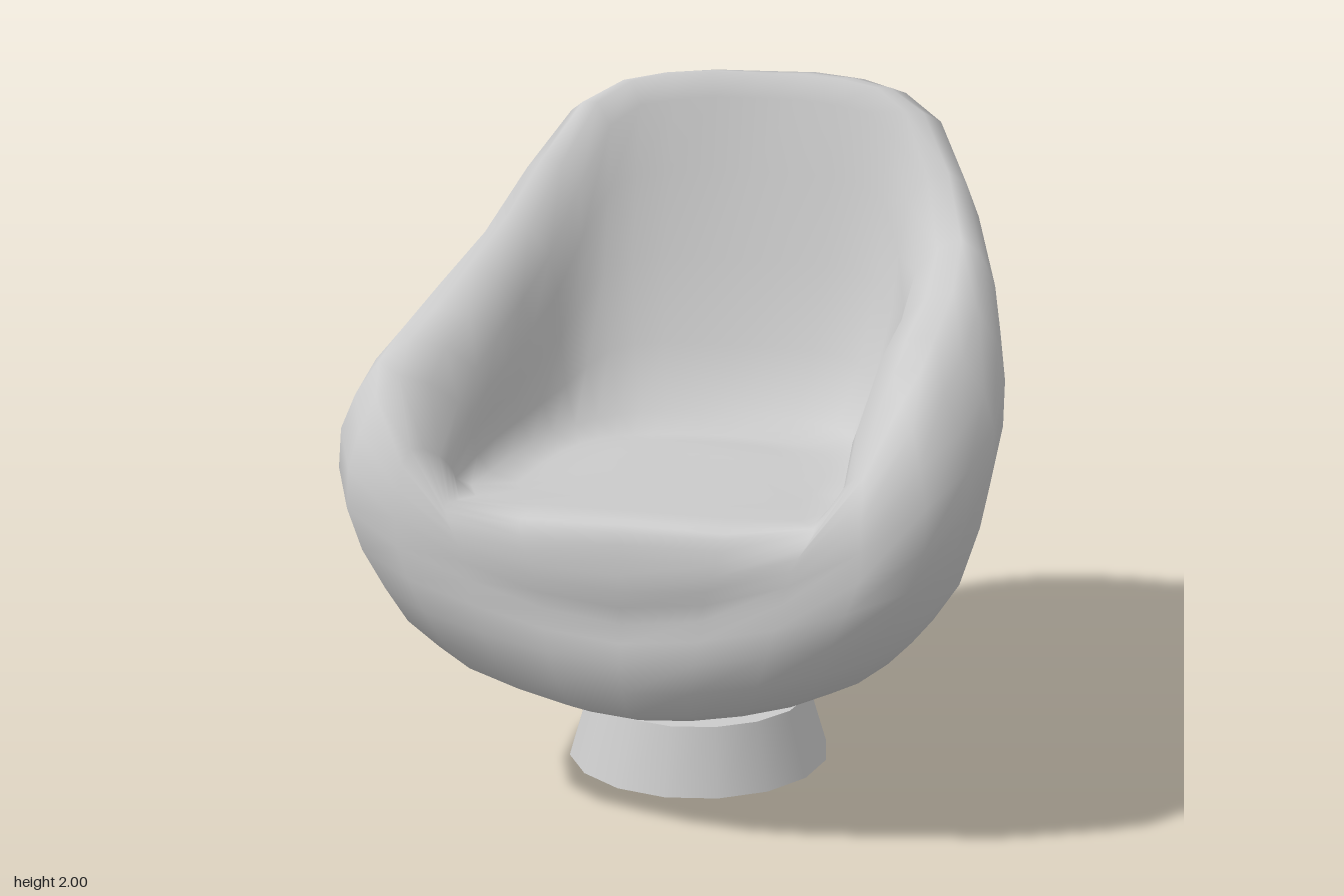
import * as THREE from 'three';
import { mergeVertices } from 'three/addons/utils/BufferGeometryUtils.js';

// Half loops, each running from front centre around the model's left side to back centre
const outerLoops = [
  // underside
  [[0, .31, .57], [.22, .315, .52], [.38, .345, .42], [.41, .35, .15], [.36, .345, -.05], [.24, .335, -.16], [.12, .325, -.2], [0, .32, -.22]],
  // lower bowl
  [[0, .395, .835], [.33, .43, .79], [.61, .49, .67], [.66, .47, .25], [.55, .47, -.2], [.36, .47, -.41], [.19, .47, -.5], [0, .47, -.53]],
  // bowl
  [[0, .57, .907], [.4, .62, .885], [.71, .7, .81], [.84, .7, .38], [.74, .73, -.25], [.49, .74, -.55], [.27, .74, -.68], [0, .73, -.725]],
  // widest belt
  [[0, .68, .89], [.44, .77, .882], [.81, .93, .825], [.93, 1.06, .43], [.85, 1.13, -.22], [.58, 1.22, -.64], [.32, 1.22, -.81], [0, 1.22, -.86]],
  // shoulder below the rim
  [[0, .78, .91], [.46, .86, .88], [.785, 1.14, .78], [.895, 1.25, .37], [.83, 1.43, -.27], [.63, 1.76, -.66], [.34, 1.87, -.865], [0, 1.89, -.91]],
];
const innerLoops = [
  // crest of the rim
  [[0, .87, .905], [.5, .93, .865], [.71, 1.28, .66], [.74, 1.39, .28], [.72, 1.56, -.3], [.55, 1.9, -.59], [.3, 1.99, -.69], [0, 1.995, -.71]],
  // inner lip
  [[0, .94, .89], [.515, .965, .83], [.575, 1.18, .55], [.575, 1.3, .2], [.58, 1.45, -.32], [.45, 1.83, -.56], [.26, 1.91, -.63], [0, 1.92, -.66]],
  // inner wall
  [[0, .965, .85], [.5, .967, .8], [.55, 1.08, .5], [.55, 1.12, .15], [.53, 1.2, -.26], [.44, 1.38, -.45], [.26, 1.42, -.52], [0, 1.42, -.54]],
  // edge of the seat
  [[0, .97, .78], [.46, .967, .74], [.52, .955, .45], [.51, .95, .1], [.45, .95, -.15], [.35, .955, -.29], [.21, .96, -.35], [0, .96, -.375]],
  // seat surface
  [[0, .953, .5], [.23, .952, .47], [.28, .948, .35], [.28, .942, .15], [.24, .938, 0], [.18, .936, -.07], [.1, .935, -.1], [0, .935, -.11]],
];

// Mirror a half loop into a full closed ring of points
function mirrorLoop(half) {
  const left = half.map(p => new THREE.Vector3(...p));
  const right = left.slice(1, -1).reverse().map(p => new THREE.Vector3(-p.x, p.y, p.z));
  return [...left, ...right];
}

// Loft a smooth skin through the rings, closed by a pole at each end
function loft(halfLoops, startPole, endPole, sub) {
  const rings = halfLoops.map(h => {
    const pts = mirrorLoop(h);
    const curve = new THREE.CatmullRomCurve3(pts, true, 'catmullrom', 0.5);
    const n = pts.length * sub;
    return Array.from({ length: n }, (_, i) => curve.getPoint(i / n));
  });
  const cols = rings[0].length;
  const rows = (rings.length + 1) * sub;
  const pos = [], index = [];
  for (let c = 0; c < cols; c++) {
    const profile = new THREE.CatmullRomCurve3(
      [startPole, ...rings.map(r => r[c]), endPole], false, 'catmullrom', 0.5);
    for (let r = 0; r <= rows; r++) pos.push(...profile.getPoint(r / rows).toArray());
  }
  for (let c = 0; c < cols; c++) {
    for (let r = 0; r < rows; r++) {
      const a = c * (rows + 1) + r;
      const b = ((c + 1) % cols) * (rows + 1) + r;
      if (r > 0) index.push(a, b, b + 1);
      if (r < rows - 1) index.push(a, b + 1, a + 1);
    }
  }
  const skin = new THREE.BufferGeometry();
  skin.setAttribute('position', new THREE.Float32BufferAttribute(pos, 3));
  skin.setIndex(index);
  const geometry = mergeVertices(skin, 1e-5);
  geometry.computeVertexNormals();
  return geometry;
}

export function createModel() {
  const group = new THREE.Group();
  const material = new THREE.MeshStandardMaterial({ color: 0xcccccc });
  const add = (name, geometry, y = 0, z = 0) => {
    const mesh = new THREE.Mesh(geometry, material);
    mesh.name = name;
    mesh.position.set(0, y, z);
    group.add(mesh);
  };

  // Padded bucket: outer bowl, rolled rim, inner walls and seat in one skin
  add('seatShell', loft([...outerLoops, ...innerLoops],
    new THREE.Vector3(0, .285, .18), new THREE.Vector3(0, .943, .2), 2));

  // Swivel stem and tapered foot
  add('stem', new THREE.CylinderGeometry(.135, .135, .18, 16), .28, .055);
  add('base', new THREE.CylinderGeometry(.34, .4, .2, 16), .1, .055);

  return group;
}
